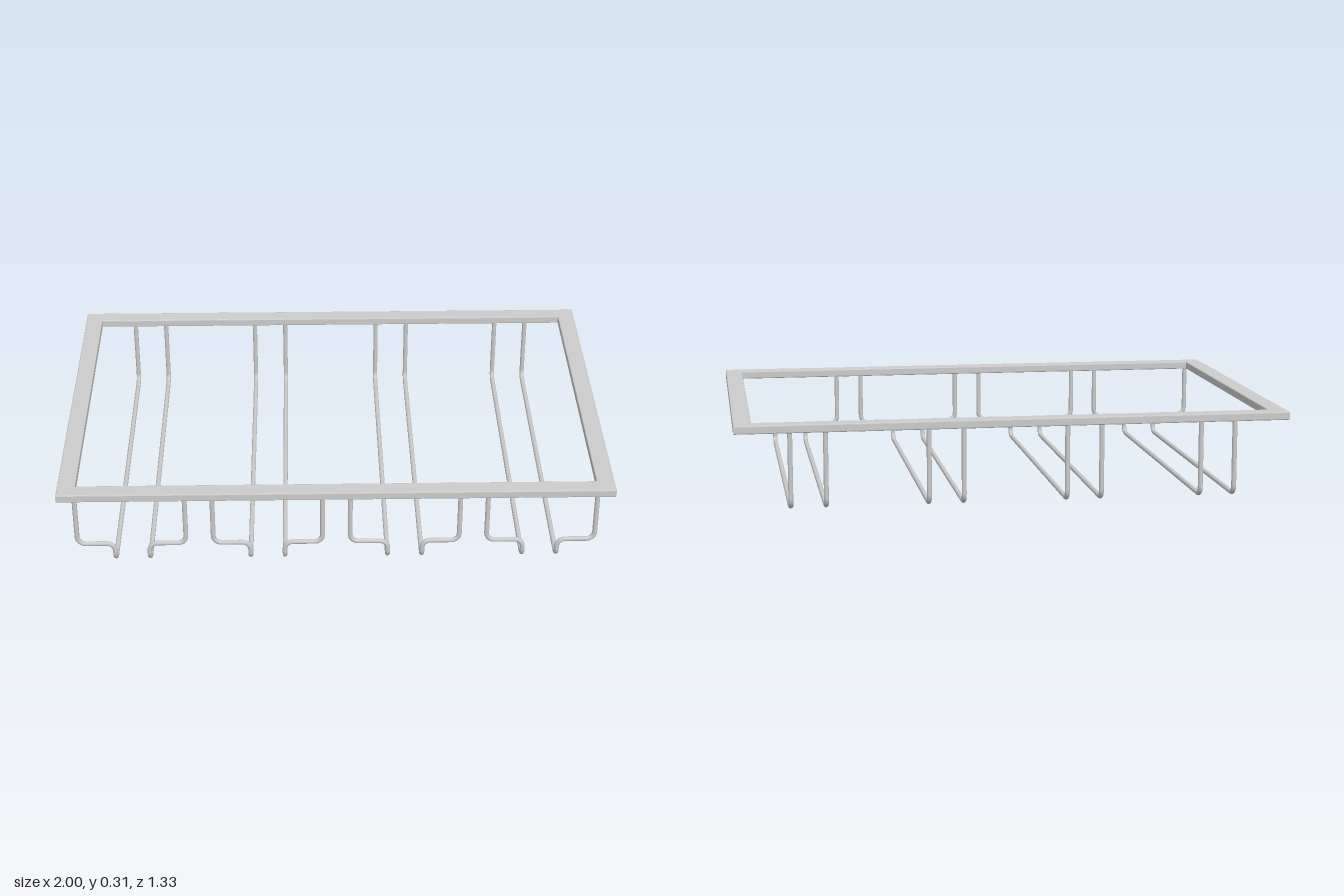
import * as THREE from 'three';

const material = new THREE.MeshStandardMaterial({ color: 0xcccccc });
const WIRE_RADIUS = 0.009;
const WIRE_Z = 0.637;

// Path through corner points, each inner corner rounded off
function roundedPath(corners, radius) {
  const path = new THREE.CurvePath();
  path.arcLengthDivisions = 400;
  let from = corners[0];
  for (let i = 1; i < corners.length - 1; i++) {
    const c = corners[i];
    const toward = (p) => c.clone().add(p.clone().sub(c).setLength(radius));
    const start = toward(corners[i - 1]);
    const end = toward(corners[i + 1]);
    const k = 0.448; // makes the bend close to a quarter circle
    path.add(new THREE.LineCurve3(from, start));
    path.add(new THREE.CubicBezierCurve3(
      start, c.clone().lerp(start, k), c.clone().lerp(end, k), end));
    from = end;
  }
  path.add(new THREE.LineCurve3(from, corners[corners.length - 1]));
  return path;
}

function rectangle(PathType, hx, hz) {
  return new PathType([[-hx, -hz], [hx, -hz], [hx, hz], [-hx, hz]]
    .map(([x, z]) => new THREE.Vector2(x, z)));
}

// Flat rectangular rim with slightly eased edges
function makeFrame() {
  const bevel = 0.004;
  const shape = rectangle(THREE.Shape, 1 - bevel, 0.665 - bevel);
  shape.holes.push(rectangle(THREE.Path, 0.935 + bevel, 0.603 + bevel));
  const geometry = new THREE.ExtrudeGeometry(shape, {
    depth: 0.03 - 2 * bevel, bevelEnabled: true,
    bevelSize: bevel, bevelThickness: bevel, bevelSegments: 2,
  });
  geometry.rotateX(-Math.PI / 2).translate(0, 0.28 + bevel, 0);
  const mesh = new THREE.Mesh(geometry, material);
  mesh.name = 'frame';
  return mesh;
}

// Hanger wire: straight back leg, long rail, front leg that jogs sideways
function makeWire(railX, legX) {
  const top = 0.29, jogY = 0.08, railY = WIRE_RADIUS;
  const corners = [
    [railX, top, -WIRE_Z], [railX, railY, -WIRE_Z], [railX, railY, WIRE_Z],
    [railX, jogY, WIRE_Z], [legX, jogY, WIRE_Z], [legX, top, WIRE_Z],
  ].map((p) => new THREE.Vector3(...p));
  const mesh = new THREE.Mesh(
    new THREE.TubeGeometry(roundedPath(corners, 0.03), 240, WIRE_RADIUS, 10), material);
  mesh.name = 'hangerWire';
  return mesh;
}

export function createModel() {
  const model = new THREE.Group();
  model.name = 'hangingRack';
  model.add(makeFrame());

  // Four rail pairs, mirrored about x = 0: [rail x, front leg x]
  const wires = [[0.803, 0.938], [0.678, 0.545], [0.312, 0.446], [0.187, 0.05]];
  for (const side of [-1, 1]) {
    for (const [railX, legX] of wires) model.add(makeWire(side * railX, side * legX));
  }
  return model;
}
